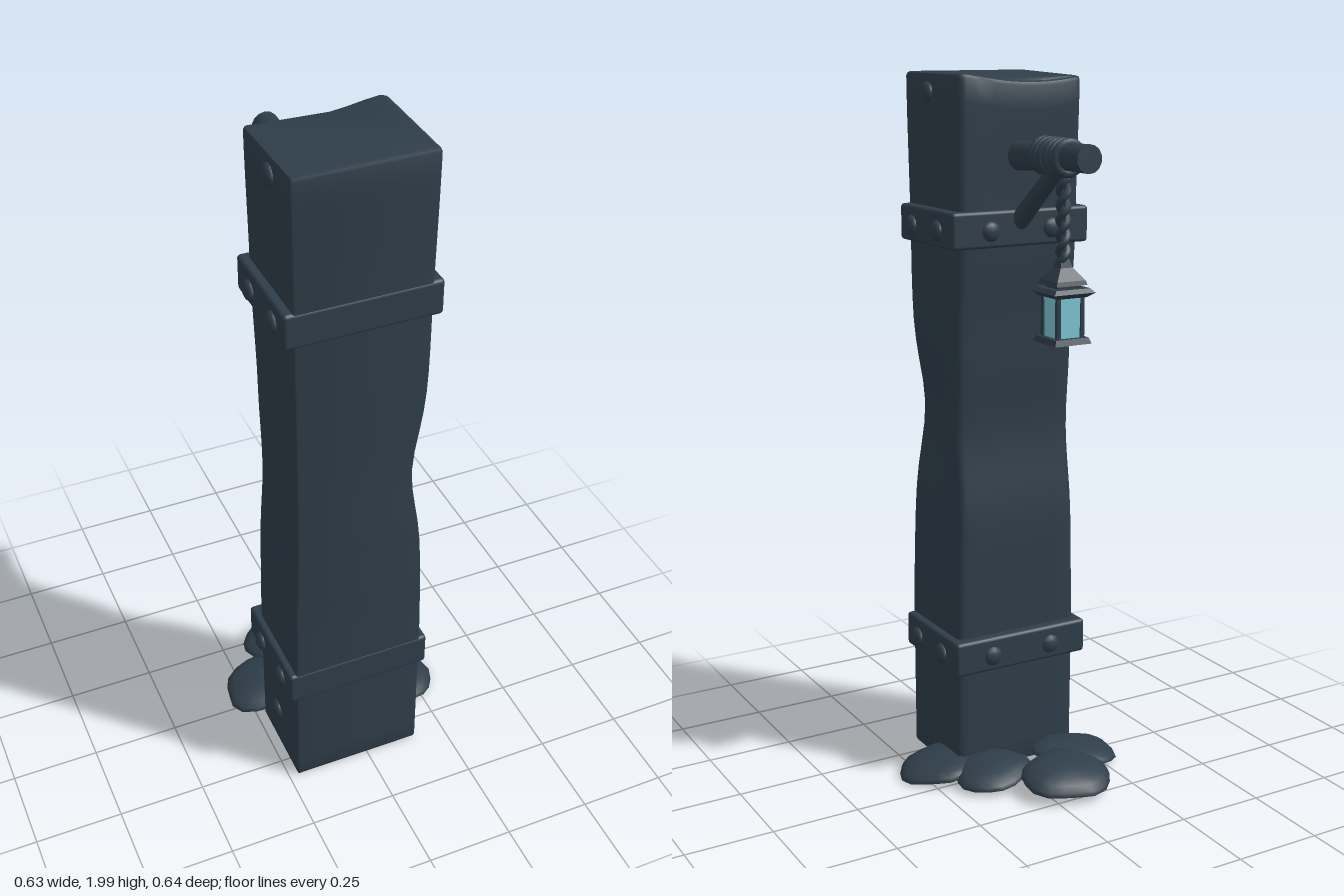
import * as THREE from 'three';
import { toCreasedNormals, mergeVertices } from 'three/addons/utils/BufferGeometryUtils.js';
import { RoundedBoxGeometry } from 'three/addons/geometries/RoundedBoxGeometry.js';

const dark = new THREE.MeshStandardMaterial({ color: 0x2f3e4a });
dark.name = 'slateWood';
const glow = new THREE.MeshStandardMaterial({ color: 0x7fc9d6 });
glow.name = 'lanternGlass';

const CX = -0.032; // centre line of post and arm
const V = (x, y, z) => new THREE.Vector3(x, y, z);

function add(parent, name, geometry, material = dark) {
  const mesh = new THREE.Mesh(geometry, material);
  mesh.name = name;
  parent.add(mesh);
  return mesh;
}

// Straight round rod between two points
function rod(parent, name, a, b, ra, rb, sides = 14) {
  const mesh = add(parent, name, toCreasedNormals(new THREE.CylinderGeometry(rb, ra, a.distanceTo(b), sides), 0.8));
  mesh.position.copy(a).lerp(b, 0.5);
  mesh.quaternion.setFromUnitVectors(V(0, 1, 0), b.clone().sub(a).normalize());
  return mesh;
}

// Piecewise smooth lookup in [position, value] pairs
function sample(table, t) {
  for (let i = 1; i < table.length; i++) {
    const [a, va] = table[i - 1], [b, vb] = table[i];
    if (t <= b) return va + (vb - va) * THREE.MathUtils.smoothstep(t, a, b);
  }
  return table[table.length - 1][1];
}

// Worn wooden post: an extruded outline whose sides wander with height
function postGeometry() {
  const w = 0.188, d = 0.31, r = 0.022, outline = [];
  const corner = (x, y, from, rad) => {
    for (let i = 0; i <= 3; i++) {
      const a = from + (i / 3) * Math.PI / 2;
      outline.push(new THREE.Vector2(x + rad * Math.cos(a), y + rad * Math.sin(a)));
    }
  };
  // shape y becomes -z, so its top is the back of the post
  corner(-w + 0.006, 0.006, Math.PI, 0.006);
  corner(w - 0.006, 0.006, -Math.PI / 2, 0.006);
  corner(w - r, d - r, 0, r);
  for (let i = 1; i < 8; i++) outline.push(new THREE.Vector2((w - r) * (1 - i / 4), d));
  corner(-w + r, d - r, Math.PI / 2, r);
  const geo = new THREE.ExtrudeGeometry(new THREE.Shape(outline), {
    depth: 1.964, steps: 32, bevelEnabled: true, bevelThickness: 0.012,
    bevelSize: 0.012, bevelOffset: -0.012, bevelSegments: 2,
  });
  geo.rotateX(-Math.PI / 2);
  const back = [[0, 0.04], [0.45, 0.035], [0.75, 0.035], [1.02, 0.06], [1.25, 0.045], [1.6, 0.022], [2, 0.01]];
  const left = [[0, 0.158], [0.4, 0.158], [1, 0.144], [1.5, 0.15], [2, 0.157]];
  const right = [[0, -0.225], [0.4, -0.225], [1, -0.216], [2, -0.221]];
  const p = geo.attributes.position;
  for (let i = 0; i < p.count; i++) {
    const y = p.getY(i) + 0.022, u = p.getX(i) / w, v = -p.getZ(i) / d;
    const dent = Math.exp(-(((y - 1.06) / 0.16) ** 2));
    const x0 = sample(right, y), x1 = sample(left, y) - 0.032 * dent * (1 - v);
    const sag = y > 1.9 ? 0.022 * v * Math.max(0, 1 - (u + 0.2) ** 2) : 0;
    p.setXYZ(i, x0 + (x1 - x0) * (u + 1) / 2, y - sag, 0.32 + (sample(back, y) - 0.32) * v);
  }
  geo.deleteAttribute('uv');
  return toCreasedNormals(geo, 0.6);
}

// Domed nail head facing along an axis
function nail(parent, pos, dir) {
  const mesh = add(parent, 'nailHead', new THREE.SphereGeometry(0.029, 12, 8));
  mesh.scale.set(1, 0.6, 1);
  mesh.position.copy(pos);
  mesh.quaternion.setFromUnitVectors(V(0, 1, 0), dir);
}

// Metal band with nails on both sides and the back
function band(parent, y, zBack) {
  const g = new THREE.Group();
  g.name = 'band';
  parent.add(g);
  const depth = 0.322 - zBack;
  const strap = add(g, 'bandStrap', new RoundedBoxGeometry(0.424, 0.1, depth, 2, 0.01));
  strap.position.set(CX, y, zBack + depth / 2);
  for (const s of [-1, 1]) {
    for (const z of [0.1, 0.25]) nail(g, V(CX + s * 0.212, y - 0.005, z), V(s, 0, 0));
    nail(g, V(CX + s * 0.095, y - 0.005, zBack + 0.004), V(0, 0, -1));
  }
}

// Thin domed flagstone with an uneven rim
function stone(parent, x, y, z, rx, h, rz, tiltX, tiltZ, seed) {
  let geo = new THREE.SphereGeometry(1, 18, 10);
  const p = geo.attributes.position;
  for (let i = 0; i < p.count; i++) {
    const a = Math.atan2(p.getZ(i), p.getX(i));
    const k = 1 + 0.05 * Math.sin(3 * a + seed) + 0.035 * Math.sin(5 * a + seed * 2.3);
    const py = p.getY(i);
    p.setXYZ(i, p.getX(i) * rx * k, py * (py > 0 ? h : 0.012), p.getZ(i) * rz * k);
  }
  geo.deleteAttribute('uv');
  geo.deleteAttribute('normal');
  geo = mergeVertices(geo, 1e-5);
  geo.computeVertexNormals();
  const mesh = add(parent, 'stone', geo);
  mesh.position.set(x, y, z);
  mesh.rotation.set(tiltX, 0, tiltZ);
}

// Strand that winds round a vertical line
function strand(parent, yTop, yBottom, z, phase) {
  const pts = [];
  for (let i = 0; i <= 40; i++) {
    const t = i / 40, a = phase + t * Math.PI * 6;
    pts.push(V(CX + 0.011 * Math.cos(a), yTop + (yBottom - yTop) * t, z + 0.011 * Math.sin(a)));
  }
  add(parent, 'hangingRope', new THREE.TubeGeometry(new THREE.CatmullRomCurve3(pts), 60, 0.01, 7));
}

// Square tapered block standing on y0
function block(parent, name, y0, y1, half0, half1, material = dark) {
  const s = Math.SQRT2;
  const geo = new THREE.CylinderGeometry(half1 * s, half0 * s, y1 - y0, 4).toNonIndexed();
  geo.computeVertexNormals();
  const mesh = add(parent, name, geo, material);
  mesh.rotation.y = Math.PI / 4;
  mesh.position.y = (y0 + y1) / 2;
}

function lantern() {
  const g = new THREE.Group();
  g.name = 'lantern';
  block(g, 'lanternBase', 1.312, 1.328, 0.056, 0.05);
  block(g, 'lanternGlass', 1.326, 1.438, 0.036, 0.038, glow);
  block(g, 'lanternEaves', 1.434, 1.447, 0.045, 0.062);
  block(g, 'lanternRoof', 1.447, 1.458, 0.062, 0.052);
  block(g, 'lanternNeck', 1.456, 1.468, 0.034, 0.034);
  block(g, 'lanternCap', 1.466, 1.478, 0.047, 0.043);
  block(g, 'lanternCapSlope', 1.478, 1.51, 0.043, 0.018);
  block(g, 'lanternTip', 1.51, 1.532, 0.018, 0.012);
  for (const x of [-1, 1]) for (const z of [-1, 1]) {
    const bar = add(g, 'lanternBar', new THREE.BoxGeometry(0.011, 0.112, 0.011));
    bar.position.set(x * 0.036, 1.382, z * 0.036);
  }
  g.position.set(CX, 0, -0.2);
  return g;
}

export function createModel() {
  const model = new THREE.Group();
  model.name = 'lanternPost';

  add(model, 'post', postGeometry());
  band(model, 0.38, 0.005);
  band(model, 1.59, 0.01);
  nail(model, V(0.157, 1.945, 0.19), V(1, 0, 0));
  nail(model, V(-0.221, 1.945, 0.19), V(-1, 0, 0));
  nail(model, V(-0.225, 0.15, 0.17), V(-1, 0, 0));

  // Arm and its brace
  rod(model, 'arm', V(CX, 1.78, 0.06), V(CX, 1.793, -0.19), 0.042, 0.032);
  rod(model, 'armTip', V(CX, 1.793, -0.18), V(CX, 1.795, -0.322), 0.035, 0.037);
  rod(model, 'brace', V(CX, 1.595, 0.04), V(CX, 1.765, -0.175), 0.027, 0.022, 10);

  // Rope coils round the arm
  for (let i = 0; i < 6; i++) {
    const coil = add(model, 'ropeCoil', new THREE.TorusGeometry(0.039, 0.0125, 8, 20));
    coil.position.set(CX, 1.791, -0.105 - i * 0.0235);
    coil.rotation.set(0.08 * Math.sin(i * 2.1), 0.12 * Math.cos(i * 1.7), 0);
  }

  // Twisted rope and lantern
  strand(model, 1.755, 1.52, -0.2, 0);
  strand(model, 1.755, 1.52, -0.2, Math.PI);
  model.add(lantern());

  // Stones round the foot
  stone(model, -0.185, 0.04, -0.04, 0.13, 0.035, 0.11, 0, 0.14, 0.6);
  stone(model, -0.068, 0.05, -0.18, 0.132, 0.042, 0.115, -0.17, 0, 2.0);
  stone(model, 0.09, 0.038, -0.03, 0.115, 0.036, 0.105, -0.08, -0.1, 4.1);
  stone(model, 0.195, 0.033, 0.092, 0.118, 0.034, 0.112, 0, -0.16, 1.2);
  return model;
}
